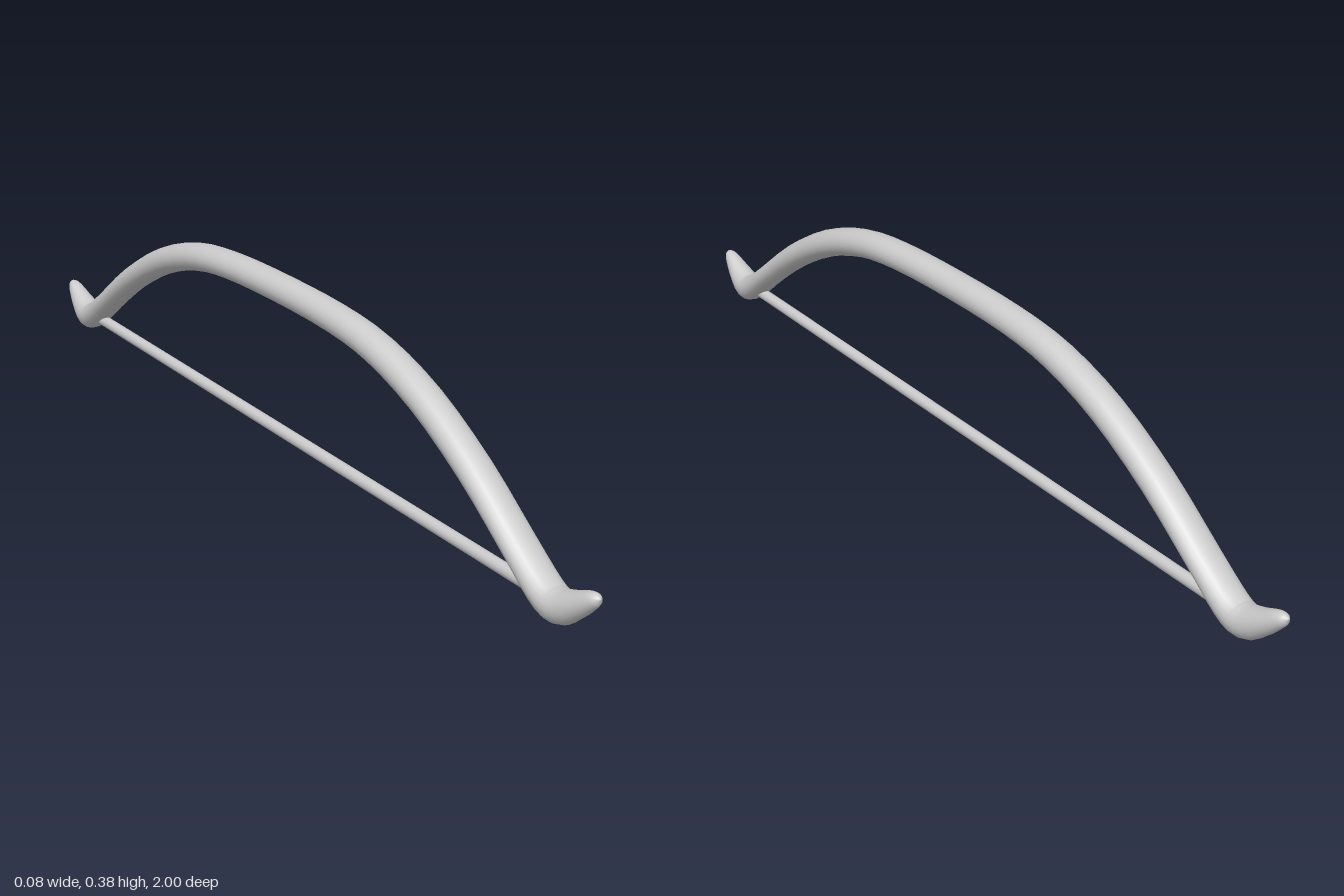
import * as THREE from 'three';

const SIDES = 20, STEPS = 3;

// Half of the limb from grip to tip: z, y, half width, half thickness
const HALF = [
  [0, 0.357, 0.033, 0.030], [0.2, 0.352, 0.034, 0.030], [0.35, 0.332, 0.035, 0.031],
  [0.5, 0.282, 0.036, 0.031], [0.65, 0.2, 0.037, 0.029], [0.78, 0.107, 0.038, 0.026],
  [0.86, 0.049, 0.038, 0.029], [0.9, 0.037, 0.034, 0.034], [0.94, 0.056, 0.027, 0.026],
  [0.975, 0.08, 0.018, 0.018], [0.992, 0.09, 0.011, 0.011], [1, 0.093, 0.001, 0.001],
];

// Sweep an elliptical section along a curve in the yz plane
function sweepLimb() {
  const mirrored = HALF.slice(1).reverse().map(([z, ...rest]) => [-z, ...rest]);
  const stations = [...mirrored, ...HALF];
  const path = new THREE.SplineCurve(stations.map(s => new THREE.Vector2(s[0], s[1])));
  const size = new THREE.SplineCurve(stations.map(s => new THREE.Vector2(s[2], s[3])));
  const rings = (stations.length - 1) * STEPS;
  const positions = [], index = [];
  for (let i = 0; i <= rings; i++) {
    const t = i / rings;
    const c = path.getPoint(t), r = size.getPoint(t), d = path.getTangent(t);
    for (let j = 0; j < SIDES; j++) {
      const a = (j / SIDES) * Math.PI * 2;
      const up = Math.sin(a) * Math.max(r.y, 0.001);
      positions.push(Math.cos(a) * Math.max(r.x, 0.001), c.y + up * d.x, c.x - up * d.y);
      if (i < rings) {
        const k = (j + 1) % SIDES;
        const p = i * SIDES + j, q = i * SIDES + k;
        index.push(p, q, p + SIDES, q, q + SIDES, p + SIDES);
      }
    }
  }
  // Close both tips
  const last = rings * SIDES;
  for (let j = 1; j < SIDES - 1; j++) {
    index.push(0, j + 1, j, last, last + j, last + j + 1);
  }
  const geometry = new THREE.BufferGeometry();
  geometry.setAttribute('position', new THREE.Float32BufferAttribute(positions, 3));
  geometry.setIndex(index);
  geometry.computeVertexNormals();
  return geometry;
}

export function createModel() {
  const group = new THREE.Group();
  group.name = 'bow';
  const material = new THREE.MeshStandardMaterial({ color: 0xcccccc });

  // Curved limb with upturned tips
  const limb = new THREE.Mesh(sweepLimb(), material);
  limb.name = 'limb';

  // Straight string between the two notches
  const string = new THREE.Mesh(new THREE.CylinderGeometry(0.013, 0.013, 1.76, 12), material);
  string.name = 'string';
  string.rotation.x = Math.PI / 2;
  string.position.y = 0.04;

  group.add(limb, string);
  return group;
}
